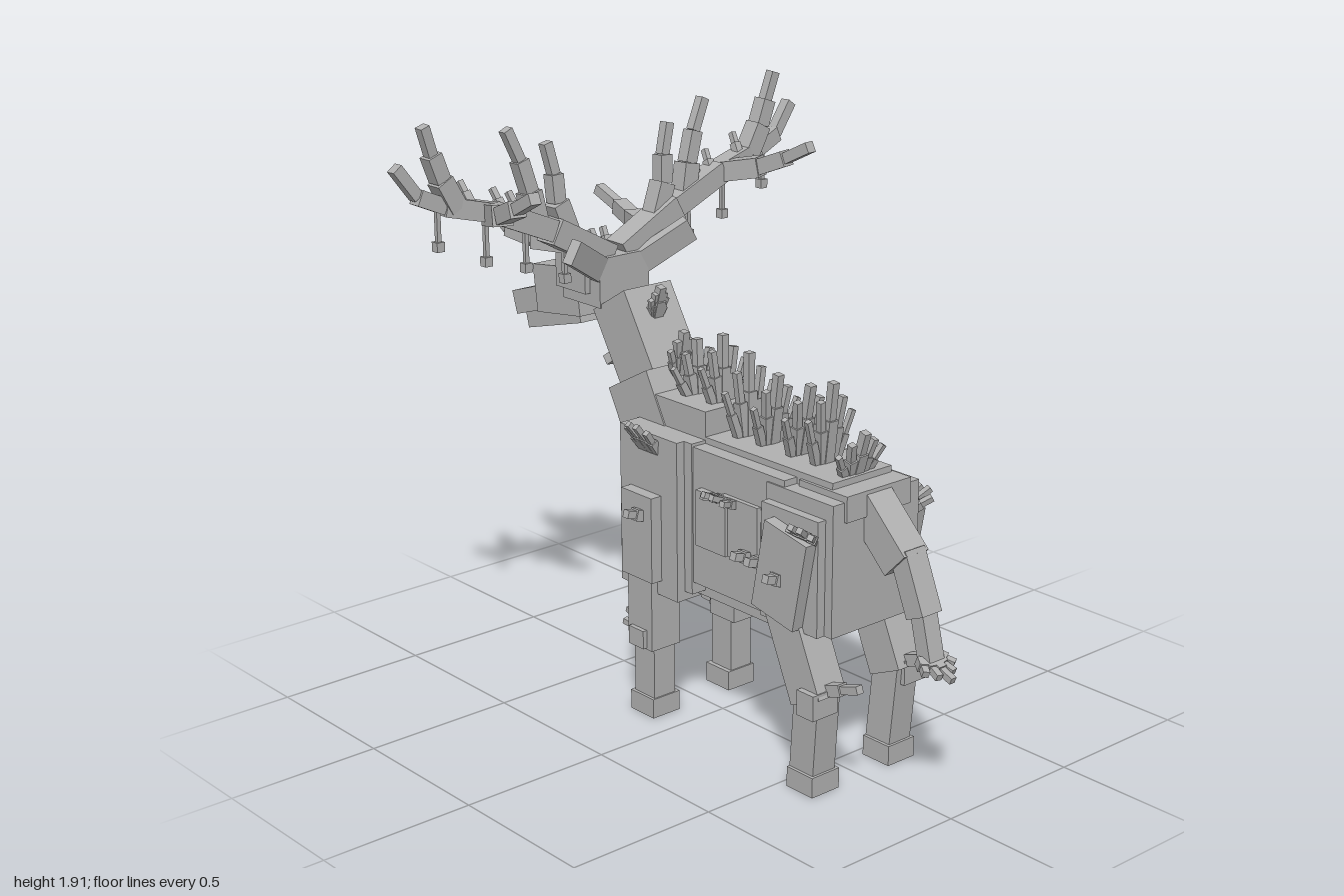
import * as THREE from 'three';

export function createModel() {
  const model = new THREE.Group();
  const grey = new THREE.MeshStandardMaterial({ color: 0xb0b0b0 });
  grey.name = 'grey';
  const V = (p) => new THREE.Vector3(...p);

  const add = (name, mesh, parent = model) => {
    mesh.name = name;
    parent.add(mesh);
    return mesh;
  };
  // Box given by its low and high corners
  const box = (name, lo, hi) => {
    const s = V(hi).sub(V(lo));
    const m = new THREE.Mesh(new THREE.BoxGeometry(s.x, s.y, s.z), grey);
    m.position.copy(V(lo)).addScaledVector(s, 0.5);
    return add(name, m);
  };
  // Box running from a to b; w is measured along ref, t across it
  const bar = (name, a, b, w, t, ref = [1, 0, 0], parent = model) => {
    const y = V(b).sub(V(a)), len = y.length();
    y.normalize();
    const x = V(ref).addScaledVector(y, -V(ref).dot(y)).normalize();
    const z = new THREE.Vector3().crossVectors(x, y);
    const m = new THREE.Mesh(new THREE.BoxGeometry(w, len, t), grey);
    m.quaternion.setFromRotationMatrix(new THREE.Matrix4().makeBasis(x, y, z));
    m.position.copy(V(a)).add(V(b)).multiplyScalar(0.5);
    return add(name, m, parent);
  };
  // Spike: thick root and thinner tip
  const spike = (name, a, b, w, ref = [1, 0, 0]) => {
    const g = add(name, new THREE.Group());
    const mid = V(a).lerp(V(b), 0.55).toArray();
    bar('root', a, mid, w, w, ref, g);
    bar('tip', mid, b, w * 0.7, w * 0.7, ref, g);
  };
  // Chain of bars through points, tapering along the list of widths
  const chain = (name, pts, widths, ref) => {
    const g = add(name, new THREE.Group());
    widths.forEach((w, i) => bar('segment', pts[i], pts[i + 1], w, w, ref, g));
  };

  // Torso
  box('chest', [-0.175, 0.46, -0.25], [0.175, 0.95, 0.055]);
  box('withers', [-0.12, 0.93, -0.23], [0.12, 1.04, 0.055]);
  box('breastPlate', [-0.07, 0.58, -0.28], [0.07, 0.74, -0.24]);
  box('barrel', [-0.17, 0.5, 0.04], [0.17, 0.94, 0.46]);
  box('spineRidge', [-0.12, 0.92, 0.04], [0.12, 0.96, 0.61]);
  box('belly', [-0.12, 0.44, -0.08], [0.12, 0.52, 0.385]);
  box('haunch', [-0.175, 0.51, 0.39], [0.175, 0.92, 0.67]);
  box('rump', [-0.13, 0.86, 0.48], [0.13, 0.94, 0.68]);

  // Neck and head
  bar('lowerNeck', [0, 0.8, -0.17], [0, 1.06, -0.31], 0.25, 0.21);
  bar('upperNeck', [0, 1.03, -0.28], [0, 1.285, -0.435], 0.19, 0.18);
  box('head', [-0.1, 1.25, -0.66], [0.1, 1.41, -0.47]);
  box('cheeks', [-0.12, 1.29, -0.67], [0.12, 1.37, -0.52]);
  box('browPlate', [-0.12, 1.36, -0.67], [0.12, 1.42, -0.57]);
  bar('snout', [0, 1.265, -0.63], [0, 1.235, -0.855], 0.13, 0.16);
  bar('nose', [0, 1.215, -0.8], [0, 1.155, -0.99], 0.1, 0.08);
  bar('jaw', [0, 1.19, -0.65], [0, 1.115, -0.93], 0.09, 0.07);
  for (const x of [-0.05, 0, 0.05]) {
    spike('throatTuft', [x * 0.6, 1.14, -0.4], [x * 1.2, 1.07, -0.485], 0.045);
    spike('browSpike', [x * 0.8, 1.4, -0.6], [x, 1.46, -0.64], 0.026);
  }

  // Spikes along the back, each row a fan: [base z, base y, tip z, tip y, spread]
  const rows = [
    [0.575, 0.94, 0.62, 1.09, 0.09], [0.455, 0.95, 0.485, 1.21, 0.09],
    [0.35, 0.95, 0.39, 1.18, 0.09], [0.22, 0.95, 0.25, 1.18, 0.09],
    [0.12, 0.95, 0.12, 1.22, 0.1], [0, 1.02, 0, 1.25, 0.09],
    [-0.11, 1.02, -0.12, 1.21, 0.1], [-0.2, 1.08, -0.18, 1.22, 0.05],
    [-0.32, 1.24, -0.29, 1.34, 0.03],
  ];
  for (const [z0, y0, z1, y1, spread] of rows) {
    for (const k of [-1, -0.5, 0, 0.5, 1]) {
      const h = 1 - 0.4 * Math.abs(k);
      spike('backSpike', [k * spread * 0.4, y0, z0],
        [k * spread, y0 + (y1 - y0) * h, z0 + (z1 - z0) * h], 0.036 - 0.012 * Math.abs(k));
    }
  }

  // Tail with a splayed tuft
  bar('tailRoot', [0, 0.89, 0.64], [0, 0.74, 0.795], 0.1, 0.11);
  bar('tailMiddle', [0, 0.78, 0.795], [0, 0.6, 0.87], 0.08, 0.07);
  bar('tailEnd', [0, 0.62, 0.865], [0, 0.46, 0.905], 0.06, 0.05);
  for (const k of [-1, -0.5, 0, 0.5, 1]) {
    spike('tailTuft', [k * 0.03, 0.475, 0.89],
      [k * 0.06, 0.435 + 0.02 * Math.abs(k), 0.99 - 0.05 * Math.abs(k)], 0.03);
  }

  // Everything mirrored left and right
  for (const s of [-1, 1]) {
    const sbox = (name, lo, hi) => box(name,
      [Math.min(s * lo[0], s * hi[0]), lo[1], lo[2]], [Math.max(s * lo[0], s * hi[0]), hi[1], hi[2]]);
    const P = (x, y, z) => [s * x, y, z];

    // Flank plates
    sbox('shoulderPlate', [0.1, 0.43, -0.25], [0.205, 0.95, 0.02]);
    sbox('shoulder', [0.12, 0.48, -0.2], [0.245, 0.76, -0.055]);
    sbox('ribPlateRear', [0.15, 0.64, 0.2], [0.185, 0.83, 0.36]);
    sbox('ribPlateFront', [0.15, 0.64, 0.095], [0.195, 0.82, 0.23]);
    sbox('hipPlate', [0.15, 0.51, 0.4], [0.205, 0.87, 0.64]);
    bar('thigh', P(0.19, 0.82, 0.545), P(0.19, 0.54, 0.49), 0.11, 0.18);

    // Hind leg
    bar('hindUpperLeg', P(0.165, 0.58, 0.485), P(0.165, 0.3, 0.61), 0.11, 0.13);
    sbox('hindKnee', [0.14, 0.265, 0.595], [0.24, 0.345, 0.665]);
    bar('hindLowerLeg', P(0.165, 0.34, 0.605), P(0.16, 0.05, 0.58), 0.09, 0.1);
    sbox('hindHoof', [0.105, 0, 0.53], [0.215, 0.065, 0.64]);
    spike('hindKneeSpike', P(0.165, 0.335, 0.63), P(0.165, 0.385, 0.78), 0.036);

    // Front leg
    sbox('frontUpperLeg', [0.115, 0.24, -0.19], [0.23, 0.5, -0.075]);
    sbox('frontKnee', [0.14, 0.245, -0.17], [0.245, 0.305, -0.1]);
    sbox('frontLowerLeg', [0.12, 0.05, -0.19], [0.205, 0.26, -0.095]);
    sbox('frontHoof', [0.105, 0, -0.2], [0.215, 0.065, -0.09]);
    for (const k of [-1, 0, 1]) {
      spike('frontKneeSpike', P(0.165 + k * 0.02, 0.27, -0.16),
        P(0.165 + k * 0.04, 0.31 - 0.02 * Math.abs(k), -0.27 + 0.03 * Math.abs(k)), 0.026);
    }

    // Single spikes pointing outwards
    for (const [x, y, z] of [[0.23, 0.69, -0.11], [0.22, 0.66, 0.51], [0.17, 0.66, 0.375], [0.17, 0.66, 0.315]]) {
      spike('sideSpike', P(x, y, z), P(x + 0.07, y + 0.02, z), 0.036, [0, 0, 1]);
    }
    // Spike clusters: [base, tip, spread along z]
    for (const [a, b, d] of [
      [[0.19, 0.89, -0.115], [0.28, 1.0, -0.115], 0.045],
      [[0.19, 0.8, 0.58], [0.28, 0.87, 0.61], 0.045],
      [[0.17, 0.81, 0.22], [0.27, 0.86, 0.22], 0.045],
    ]) {
      for (const k of [-1, -0.4, 0.4, 1]) {
        const drop = 0.03 * Math.abs(k);
        spike('clusterSpike', P(a[0], a[1], a[2] + k * d * 0.7),
          P(b[0] - drop, b[1] - drop, b[2] + k * d), 0.026, [0, 0, 1]);
      }
    }

    // Ear
    bar('ear', P(0.08, 1.37, -0.49), P(0.24, 1.465, -0.43), 0.035, 0.08, [0, 0, 1]);

    // Antler: main beam, upright tines, forward tine and backward tine
    const up = [0, 0, 1];
    chain('antlerBeam', [P(0.03, 1.4, -0.53), P(0.25, 1.52, -0.525), P(0.45, 1.605, -0.53),
      P(0.63, 1.65, -0.55), P(0.72, 1.69, -0.555), P(0.79, 1.785, -0.56)],
    [0.085, 0.07, 0.06, 0.05, 0.036], up);
    chain('innerTine', [P(0.17, 1.48, -0.53), P(0.215, 1.6, -0.535), P(0.22, 1.69, -0.54),
      P(0.245, 1.79, -0.545)], [0.06, 0.045, 0.032], up);
    chain('middleTine', [P(0.3, 1.55, -0.53), P(0.32, 1.65, -0.535), P(0.35, 1.75, -0.54),
      P(0.395, 1.85, -0.545)], [0.06, 0.045, 0.032], up);
    chain('outerTine', [P(0.59, 1.64, -0.545), P(0.64, 1.73, -0.545), P(0.67, 1.81, -0.545),
      P(0.7, 1.9, -0.54)], [0.06, 0.05, 0.032], up);
    chain('forwardTine', [P(0.15, 1.46, -0.54), P(0.2, 1.46, -0.67), P(0.225, 1.48, -0.77),
      P(0.215, 1.525, -0.865)], [0.06, 0.048, 0.034], [0, 1, 0]);
    chain('backwardTine', [P(0.46, 1.6, -0.54), P(0.52, 1.63, -0.4), P(0.54, 1.67, -0.3),
      P(0.55, 1.72, -0.2)], [0.065, 0.052, 0.036], [0, 1, 0]);

    // Small knots along the antler
    for (const [x, y] of [[0.21, 1.53], [0.36, 1.6], [0.42, 1.62], [0.54, 1.66]]) {
      spike('antlerKnot', P(x, y - 0.02, -0.53), P(x + 0.01, y + 0.05, -0.575), 0.026, up);
    }
    // Hanging strands with a small weight
    for (const [x, top, low] of [[0.18, 1.46, 1.335], [0.33, 1.56, 1.395], [0.48, 1.61, 1.44], [0.655, 1.65, 1.515]]) {
      sbox('strand', [x - 0.007, low, -0.552], [x + 0.007, top, -0.538]);
      sbox('strandWeight', [x - 0.014, low, -0.559], [x + 0.014, low + 0.03, -0.531]);
    }
  }
  return model;
}
